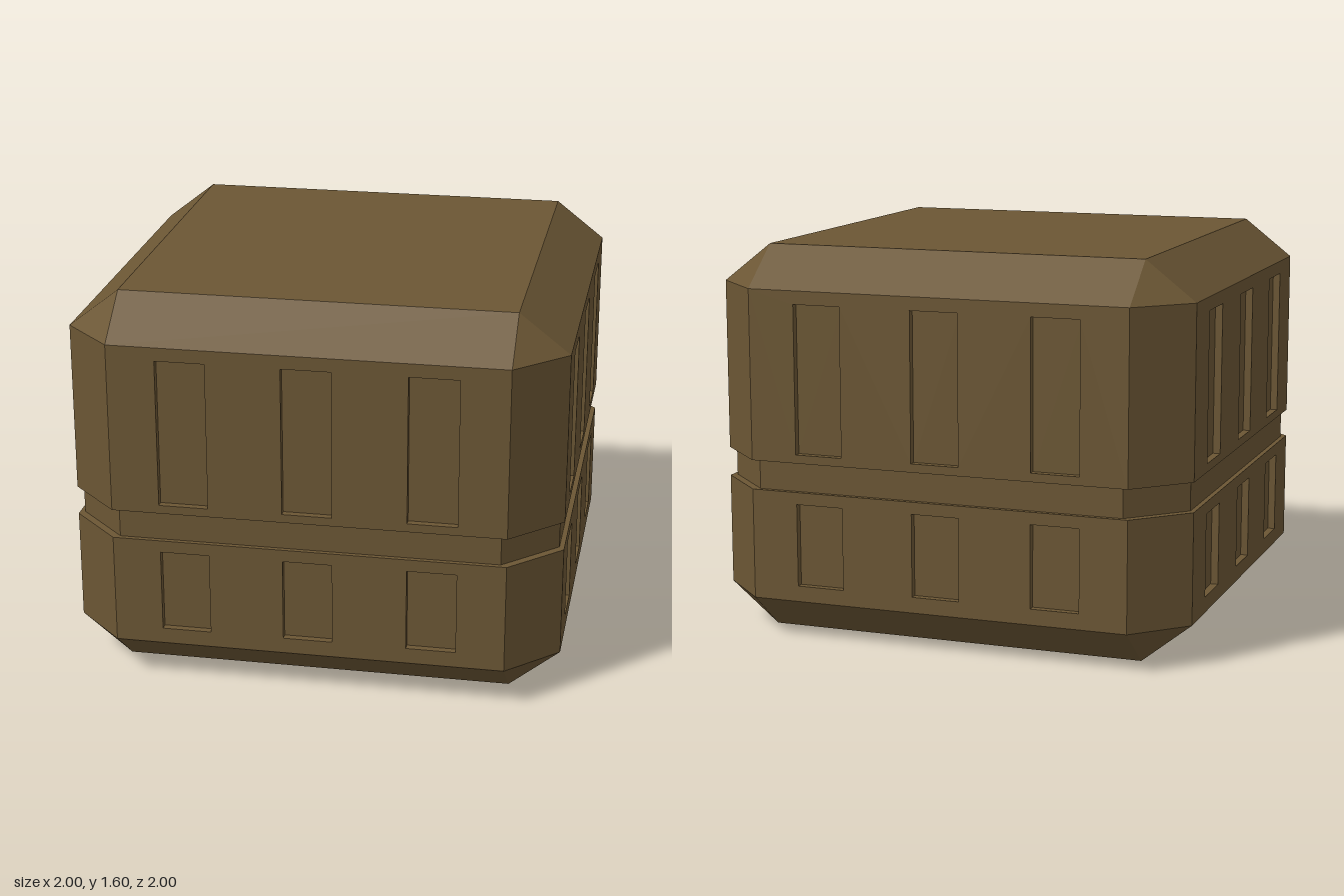
import * as THREE from 'three';

const material = new THREE.MeshStandardMaterial({ color: 0x6b5634, flatShading: true });
const EDGE = 1, FLAT = 0.795, DEPTH = 0.03;

// Levels from bottom to top: height, half width, half length of the flat side
const levels = [
  [0, FLAT, FLAT], [0.165, EDGE, FLAT],
  [0.62, EDGE, FLAT], [0.62, 0.98, 0.77],
  [0.74, 0.98, 0.77], [0.74, EDGE, FLAT],
  [1.44, EDGE, FLAT], [1.6, FLAT, FLAT],
];

// Panelled storeys: wall bottom and top, recess bottom and top
const storeys = [
  { name: 'lower', y0: 0.165, y1: 0.62, p0: 0.23, p1: 0.57 },
  { name: 'upper', y0: 0.74, y1: 1.44, p0: 0.775, p1: 1.385 },
];

// Square cross-section with chamfered corners
const ring = ([y, e, c]) =>
  [[-c, e], [c, e], [e, c], [e, -c], [c, -e], [-c, -e], [-e, -c], [-e, c]]
    .map(([x, z]) => new THREE.Vector3(x, y, z));

// Chamfered shell with the groove; the flat storey walls are left open
function shellGeometry() {
  const points = [];
  const triangle = (a, b, c) => {
    if (new THREE.Triangle(a, b, c).getArea() > 1e-6) points.push(a, b, c);
  };
  const quad = (a, b, c, d) => { triangle(a, b, c); triangle(a, c, d); };
  const rings = levels.map(ring);
  for (let l = 0; l < rings.length - 1; l++) {
    const isStorey = storeys.some(s => s.y0 === levels[l][0] && s.y1 === levels[l + 1][0]);
    for (let i = 0; i < 8; i++) {
      if (isStorey && i % 2 === 0) continue;
      const j = (i + 1) % 8;
      quad(rings[l][i], rings[l][j], rings[l + 1][j], rings[l + 1][i]);
    }
  }
  const top = rings[rings.length - 1], bottom = rings[0];
  quad(top[0], top[2], top[4], top[6]);
  quad(bottom[6], bottom[4], bottom[2], bottom[0]);
  const geometry = new THREE.BufferGeometry().setFromPoints(points);
  geometry.computeVertexNormals();
  return geometry;
}

function rectangle(path, x0, y0, x1, y1) {
  return path.moveTo(x0, y0).lineTo(x1, y0).lineTo(x1, y1).lineTo(x0, y1).closePath();
}

// Box turned inside out, open at the front
function recessGeometry(height) {
  const box = new THREE.BoxGeometry(0.2, height, DEPTH).scale(1, 1, -1);
  box.setIndex(Array.from(box.index.array).slice(0, 30));
  const geometry = box.toNonIndexed();
  geometry.computeVertexNormals();
  return geometry;
}

export function createModel() {
  const model = new THREE.Group();
  model.name = 'panelledBlock';
  const add = (parent, geometry, name) => {
    const mesh = new THREE.Mesh(geometry, material);
    mesh.name = name;
    parent.add(mesh);
    return mesh;
  };
  add(model, shellGeometry(), 'chamferedShell');

  // Four identical sides, each with two rows of three recesses
  ['front', 'left', 'back', 'right'].forEach((sideName, k) => {
    const side = new THREE.Group();
    side.name = sideName + 'Side';
    side.rotation.y = k * Math.PI / 2;
    for (const { name, y0, y1, p0, p1 } of storeys) {
      const wall = rectangle(new THREE.Shape(), -FLAT, y0, FLAT, y1);
      for (const x of [-0.5, 0, 0.5]) {
        wall.holes.push(rectangle(new THREE.Path(), x - 0.1, p0, x + 0.1, p1));
        add(side, recessGeometry(p1 - p0), name + 'Recess')
          .position.set(x, (p0 + p1) / 2, EDGE - DEPTH / 2);
      }
      add(side, new THREE.ShapeGeometry(wall), name + 'Wall').position.z = EDGE;
    }
    model.add(side);
  });
  return model;
}
